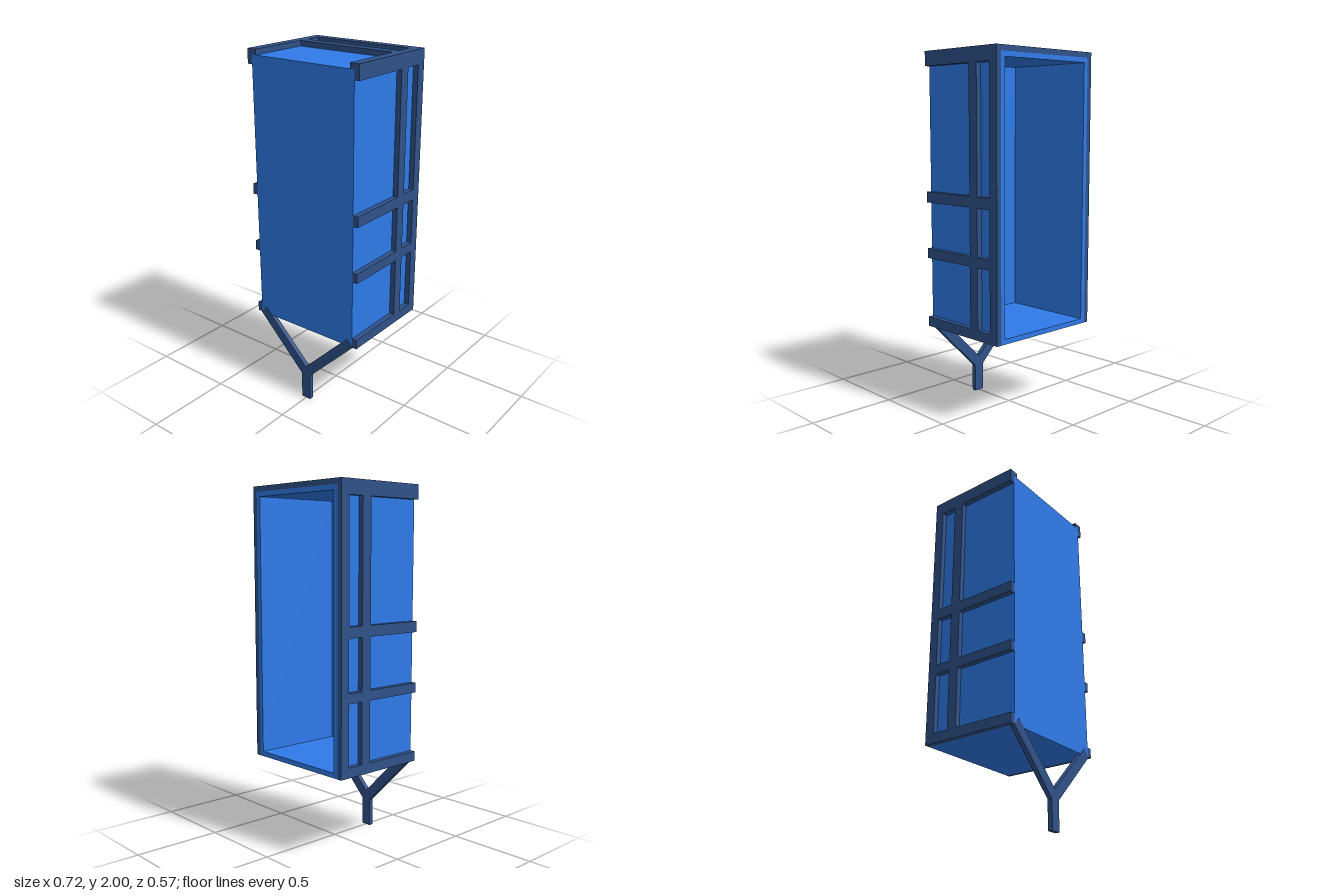
import * as THREE from 'three';

const panelMat = new THREE.MeshStandardMaterial({ color: 0x2f7ae8 });
const frameMat = new THREE.MeshStandardMaterial({ color: 0x2f5188 });

// Box given by its limits on each axis
function slab(parent, name, mat, [x0, x1], [y0, y1], [z0, z1]) {
  const mesh = new THREE.Mesh(new THREE.BoxGeometry(x1 - x0, y1 - y0, z1 - z0), mat);
  mesh.position.set((x0 + x1) / 2, (y0 + y1) / 2, (z0 + z1) / 2);
  mesh.name = name;
  parent.add(mesh);
}

export function createModel() {
  const model = new THREE.Group();
  model.name = 'trailerBody';

  const W = 0.36, w = 0.33, t = 0.028;   // outer half width, panel half width, wall
  const bottom = 0.465, top = 2, roof = 1.97, D = 0.285;
  const depth = [-D, D];
  const posts = [[-D, -0.23], [-0.135, -0.075]];

  // Open-backed shell
  const shell = new THREE.Group();
  shell.name = 'shell';
  model.add(shell);
  slab(shell, 'frontPanel', panelMat, [-w, w], [bottom, roof], [D - t, D]);
  slab(shell, 'floorPanel', panelMat, [-w, w], [bottom, bottom + t], [-D, D - t]);
  slab(shell, 'roofPanel', panelMat, [-w, w], [roof - t, roof], [-D, D - t]);
  for (const s of [-1, 1]) {
    const x = s > 0 ? [w - t, w] : [-w, t - w];
    slab(shell, 'sidePanel', panelMat, x, [bottom + t, roof - t], [-D, D - t]);
  }

  // Side frames: rails run front to back, posts stand between them
  for (const s of [-1, 1]) {
    const frame = new THREE.Group();
    frame.name = s > 0 ? 'leftFrame' : 'rightFrame';
    model.add(frame);
    const x = s > 0 ? [w, W] : [-W, -w];
    const mid = s > 0 ? 1.175 : 1.2;
    const rails = [[bottom, 0.52], [0.86, 0.915], [mid, mid + 0.06], [1.92, top]];
    for (const y of rails) slab(frame, 'sideRail', frameMat, x, y, depth);
    for (const z of posts) {
      for (let i = 0; i < rails.length - 1; i++) {
        slab(frame, 'sidePost', frameMat, x, [rails[i][1], rails[i + 1][0]], z);
      }
    }
    slab(frame, 'roofRail', frameMat, s > 0 ? [0.303, w] : [-w, -0.303], [roof, top], depth);
  }

  // Cross bars on the roof
  for (const z of posts) slab(model, 'roofCrossBar', frameMat, [-0.303, 0.303], [roof, top], z);

  // Forked drawbar as one flat plate
  const half = [[0.03, 0], [0.03, 0.16], [0.335, 0.465], [0.295, 0.505]];
  const outline = [...half, [0, 0.213], ...half.map(([x, y]) => [-x, y]).reverse()];
  const plate = new THREE.Shape(outline.map(([x, y]) => new THREE.Vector2(x, y)));
  const drawbar = new THREE.Mesh(
    new THREE.ExtrudeGeometry(plate, { depth: 0.027, bevelEnabled: false }), frameMat);
  drawbar.position.z = 0.26;
  drawbar.name = 'drawbar';
  model.add(drawbar);

  return model;
}
